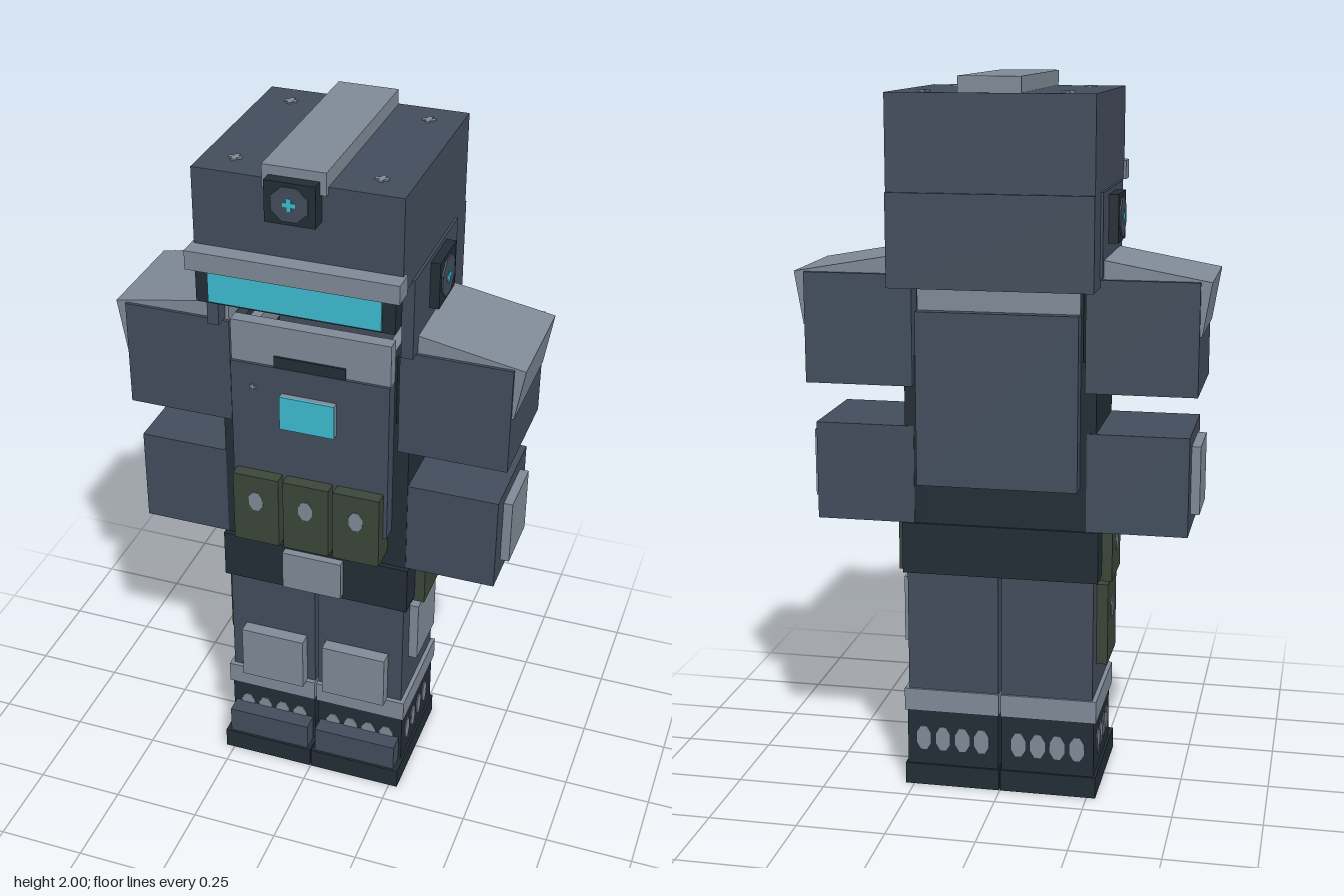
import * as THREE from 'three';

const paint = (name, color) => {
  const m = new THREE.MeshStandardMaterial({ color });
  m.name = name;
  return m;
};

export function createModel() {
  const model = new THREE.Group();
  model.name = 'armourSuit';
  const armour = paint('slate armour', 0x434d5d);
  const light = paint('light grey plate', 0x808b98);
  const dark = paint('dark fabric', 0x232d36);
  const cyan = paint('cyan glass', 0x3dbcd0);
  const olive = paint('olive pouch', 0x3c4638);

  const add = (name, geo, mat) => {
    const mesh = new THREE.Mesh(geo, mat);
    mesh.name = name;
    model.add(mesh);
    return mesh;
  };
  // Box from its lower and upper limits on each axis
  const box = (name, mat, x0, x1, y0, y1, z0, z1) => {
    const mesh = add(name, new THREE.BoxGeometry(Math.abs(x1 - x0), y1 - y0, z1 - z0), mat);
    mesh.position.set((x0 + x1) / 2, (y0 + y1) / 2, (z0 + z1) / 2);
    return mesh;
  };
  // Thin eight-sided stud on a face with the given normal axis
  const stud = (name, mat, x, y, z, axis, w, h) => {
    const geo = new THREE.CylinderGeometry(1, 1, 0.006, 8);
    geo.rotateY(Math.PI / 8).rotateX(Math.PI / 2).scale(w / 2 * 1.08, h / 2 * 1.08, 1);
    if (axis === 'x') geo.rotateY(Math.PI / 2);
    if (axis === 'y') geo.rotateX(Math.PI / 2);
    const flat = geo.toNonIndexed();
    flat.computeVertexNormals();
    add(name, flat, mat).position.set(x, y, z);
  };
  // Thin plus sign on a face with the given normal axis
  const plus = (name, mat, x, y, z, axis, size) => {
    for (const [a, b] of [[size, size / 3], [size / 3, size]]) {
      const dims = { x: [0.006, a, b], y: [a, 0.006, b], z: [a, b, 0.006] }[axis];
      add(name, new THREE.BoxGeometry(...dims), mat).position.set(x, y, z);
    }
  };

  // Helmet: an open shell with crown, neck guard and cheek flaps
  box('helmetCrown', armour, -0.275, 0.275, 1.7, 1.958, -0.296, 0.254);
  box('neckGuard', armour, -0.275, 0.275, 1.455, 1.704, -0.305, -0.19);
  box('crest', light, -0.083, 0.083, 1.94, 2.0, -0.29, 0.268);
  box('brow', light, -0.282, 0.282, 1.7, 1.752, 0.24, 0.303);
  box('visorFrame', dark, -0.265, 0.265, 1.602, 1.7, 0.225, 0.278);
  box('visorGlass', cyan, -0.23, 0.23, 1.608, 1.7, 0.276, 0.284);
  box('headLamp', dark, -0.066, 0.066, 1.865, 1.975, 0.25, 0.3);
  stud('lampLens', armour, 0, 1.92, 0.301, 'z', 0.095, 0.09);
  plus('lampLight', cyan, 0, 1.92, 0.303, 'z', 0.033);

  // Torso: open-topped vest, collar and belt
  box('chestPlate', armour, -0.222, 0.222, 0.9, 1.38, 0.12, 0.176);
  box('backPlate', armour, -0.222, 0.222, 0.9, 1.38, -0.215, -0.16);
  box('waist', dark, -0.265, 0.265, 0.77, 0.93, -0.168, 0.132);
  box('belt', dark, -0.275, 0.275, 0.635, 0.78, -0.175, 0.145);
  box('buckle', light, -0.088, 0.086, 0.65, 0.77, 0.14, 0.168);
  box('collarFront', light, -0.222, 0.222, 1.38, 1.5, 0.13, 0.168);
  box('collarBack', light, -0.222, 0.222, 1.38, 1.45, -0.185, -0.15);
  box('collarSlot', dark, -0.1, 0.1, 1.376, 1.412, 0.166, 0.174);
  box('screenFrame', light, -0.078, 0.076, 1.205, 1.305, 0.17, 0.19);
  box('screen', cyan, -0.078, 0.076, 1.205, 1.305, 0.19, 0.196);
  plus('chestStud', light, -0.16, 1.31, 0.176, 'z', 0.018);
  for (const x of [-0.145, 0, 0.145]) {
    box('chestPouch', olive, x - 0.066, x + 0.066, 0.828, 1.045, 0.13, 0.213);
    stud('pouchButton', light, x, 0.965, 0.213, 'z', 0.04, 0.058);
  }

  // Shoulder pad profile, seen from the front
  const padPoints = [[0.24, 1.47], [0.53, 1.47], [0.53, 1.33], [0.543, 1.33], [0.567, 1.475], [0.24, 1.533]];

  for (const s of [1, -1]) {
    // Ear piece and cheek flap
    box('cheekFlap', armour, s * 0.25, s * 0.282, 1.48, 1.704, -0.2, 0.178);
    box('earPiece', dark, s * 0.27, s * 0.308, 1.56, 1.69, -0.098, 0.043);
    stud('earDisc', armour, s * 0.309, 1.625, -0.026, 'x', 0.11, 0.105);
    plus('earLight', cyan, s * 0.311, 1.625, -0.026, 'x', 0.04);

    // Helmet bolts
    for (const z of [-0.215, 0.17]) plus('helmetBolt', light, s * 0.19, 1.959, z, 'y', 0.035);

    // Vest sides
    box('vestSide', dark, s * 0.215, s * 0.265, 0.77, 1.25, -0.168, 0.132);
    box('vestStrap', dark, s * 0.212, s * 0.228, 1.2, 1.45, -0.168, 0.132);
    box('collarSide', light, s * 0.185, s * 0.212, 1.38, 1.45, -0.17, 0.15);

    // Arms
    box('upperArm', armour, s * 0.237, s * 0.537, 1.17, 1.475, -0.19, 0.143);
    const pts = padPoints.map(([x, y]) => new THREE.Vector2(s * x, y));
    const pad = new THREE.ExtrudeGeometry(new THREE.Shape(pts), { depth: 0.312, bevelEnabled: false });
    add('shoulderPad', pad, light).position.z = -0.178;
    box('forearm', armour, s * 0.24, s * 0.517, 0.78, 1.055, -0.17, 0.13);
    box('forearmPlate', light, s * 0.51, s * 0.542, 0.828, 1.018, -0.106, 0.068);

    // Hip pouch
    box('hipPouch', olive, s * 0.26, s * 0.304, 0.62, 0.775, -0.1, 0.066);
    stud('hipButton', light, s * 0.304, 0.712, -0.018, 'x', 0.04, 0.045);

    // Leg and boot
    box('leg', armour, s * 0.005, s * 0.263, 0.22, 0.66, -0.168, 0.13);
    box('kneePad', light, s * 0.03, s * 0.22, 0.288, 0.455, 0.12, 0.168);
    box('bootCuff', light, s * 0.003, s * 0.275, 0.225, 0.29, -0.175, 0.143);
    box('boot', dark, s * 0.005, s * 0.268, 0.05, 0.226, -0.169, 0.133);
    box('toeCap', armour, s * 0.012, s * 0.26, 0.06, 0.145, 0.12, 0.183);
    box('sole', dark, s * 0.002, s * 0.275, 0, 0.062, -0.175, 0.19);
    for (let i = 0; i < 4; i++) {
      const x = s * (0.053 + i * 0.056);
      stud('bootLaceFront', light, x, 0.142, 0.133, 'z', 0.042, 0.07);
      stud('bootLaceBack', light, x, 0.142, -0.169, 'z', 0.042, 0.07);
      stud('bootLaceSide', light, s * 0.268, 0.142, 0.08 - i * 0.058, 'x', 0.04, 0.07);
    }
  }

  // Thigh plate on the left, holster on the right
  box('thighPlate', light, 0.255, 0.289, 0.41, 0.6, -0.105, 0.068);
  box('holster', olive, -0.294, -0.255, 0.375, 0.61, -0.1, 0.066);
  stud('holsterButton', light, -0.294, 0.52, -0.018, 'x', 0.04, 0.06);

  return model;
}
